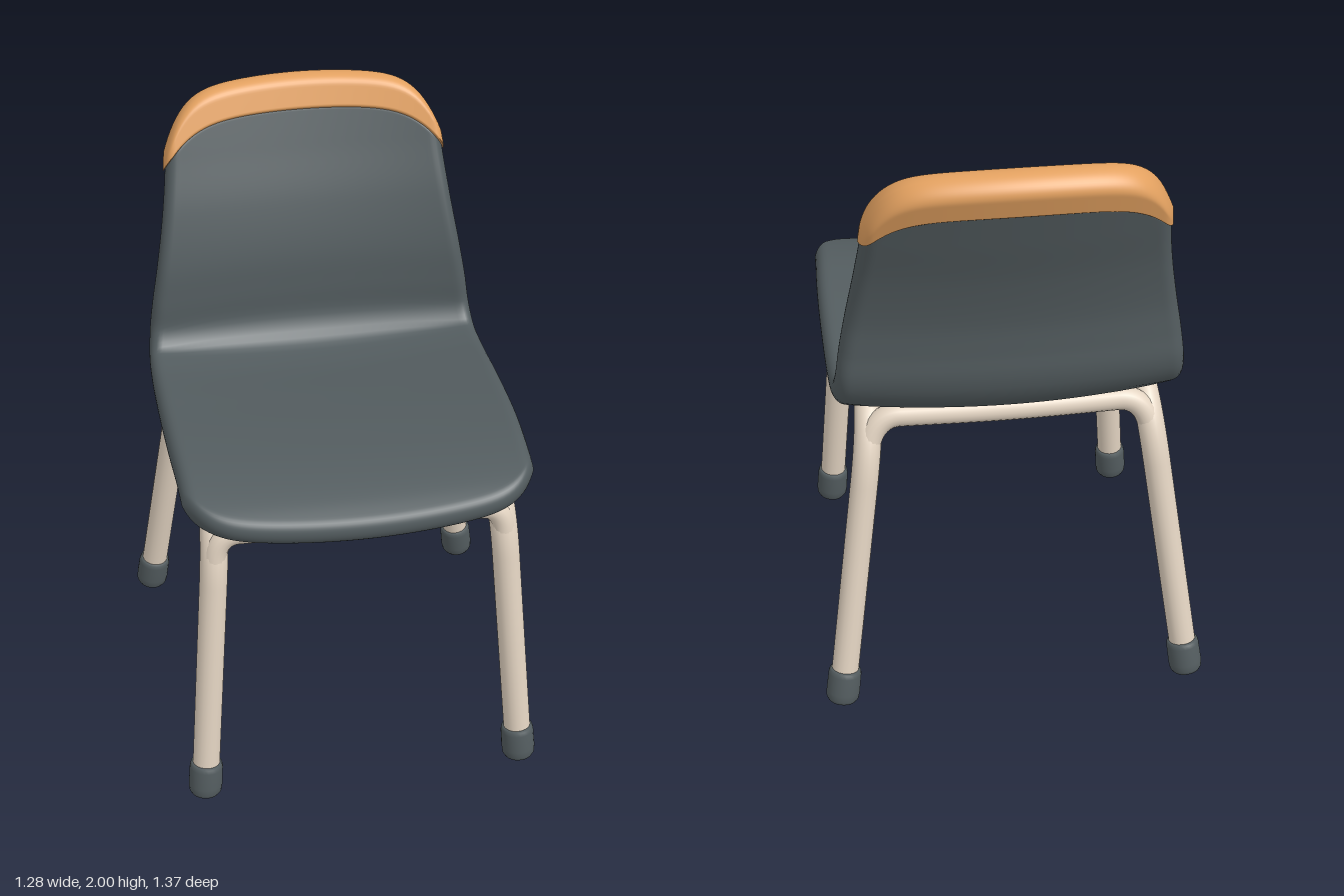
import * as THREE from 'three';
import { mergeVertices } from 'three/addons/utils/BufferGeometryUtils.js';

const V = (x, y, z) => new THREE.Vector3(x, y, z);

// Edge line of the moulded shell, front lip to top of back: [half width, y, z]
const spine = new THREE.CatmullRomCurve3([
  [0.555, 1.045, 0.672], [0.56, 1.088, 0.57], [0.565, 1.118, 0.42], [0.572, 1.124, 0.25],
  [0.575, 1.112, 0], [0.572, 1.1, -0.25], [0.567, 1.118, -0.35], [0.557, 1.19, -0.403],
  [0.542, 1.3, -0.41], [0.521, 1.42, -0.42], [0.49, 1.6, -0.463], [0.467, 1.78, -0.525],
  [0.455, 2.013, -0.605],
].map((p) => V(...p)), false, 'centripetal');
spine.arcLengthDivisions = 600;
const L = spine.getLength();

// Point on the dished mid-surface (s across, a along the spine) plus its normal
function surfaceFrame(s, a) {
  const t = THREE.MathUtils.clamp(a / L, 0, 1);
  const p = spine.getPointAt(t);
  const tan = spine.getTangentAt(t).setX(0).normalize();
  const normal = V(0, -tan.z, tan.y);
  const dish = THREE.MathUtils.lerp(0.028, 0.046, THREE.MathUtils.smoothstep(a, 0.5, 1.1));
  const width = p.x;
  p.x = 0;
  p.addScaledVector(normal, -dish * (1 - s * s));
  return { p, normal, width };
}

// Pillow-edged slab following the spine between two curved ends
function slab({ start, end, half, rim, endRim, grow = 0, nu, nv }) {
  const pos = [], index = [];
  const round = (d, r) => Math.sqrt(Math.max(0, 1 - (1 - Math.min(d / r, 1)) ** 2));
  for (const side of [1, -1]) {
    const base = pos.length / 3;
    for (let j = 0; j <= nv; j++) {
      const v = (1 - Math.cos(Math.PI * j / nv)) / 2;
      for (let i = 0; i <= nu; i++) {
        const s = Math.sin(Math.PI * (i / nu - 0.5));
        const a0 = start(s), a1 = end(s), a = a0 + (a1 - a0) * v;
        const { p, normal, width } = surfaceFrame(s, a);
        const w = width + grow;
        const h = half * round((1 - Math.abs(s)) * w, rim)
          * round(a - a0, endRim[0]) * round(a1 - a, endRim[1]);
        p.addScaledVector(normal, side * h);
        pos.push(s * w, p.y, p.z);
        if (i < nu && j < nv) {
          const k = base + j * (nu + 1) + i, m = k + nu + 1;
          if (side > 0) index.push(k, k + 1, m + 1, k, m + 1, m);
          else index.push(k, m + 1, k + 1, k, m, m + 1);
        }
      }
    }
  }
  let g = new THREE.BufferGeometry();
  g.setAttribute('position', new THREE.Float32BufferAttribute(pos, 3));
  g.setIndex(index);
  g = mergeVertices(g, 1e-5);
  g.computeVertexNormals();
  return g;
}

// Tube through straight runs with rounded corners
function bentTube(points, bends, radius) {
  const path = new THREE.CurvePath();
  let from = points[0];
  for (let i = 1; i < points.length - 1; i++) {
    const c = points[i], [before, after] = bends[i - 1];
    const p = c.clone().add(points[i - 1].clone().sub(c).setLength(before));
    const q = c.clone().add(points[i + 1].clone().sub(c).setLength(after));
    path.add(new THREE.LineCurve3(from, p));
    path.add(new THREE.QuadraticBezierCurve3(p, c, q));
    from = q;
  }
  path.add(new THREE.LineCurve3(from, points[points.length - 1]));
  return new THREE.TubeGeometry(path, 140, radius, 18, false);
}

export function createModel() {
  const model = new THREE.Group();
  const material = (name, color) => {
    const m = new THREE.MeshStandardMaterial({ color });
    m.name = name;
    return m;
  };
  const slate = material('slate grey', 0x535c5f);
  const orange = material('warm orange', 0xe3a160);
  const beige = material('beige', 0xe2d3c1);
  const add = (name, geometry, mat, parent = model) => {
    const mesh = new THREE.Mesh(geometry, mat);
    mesh.name = name;
    parent.add(mesh);
    return mesh;
  };

  // Seat and back in one shell, with an orange grip along the top edge
  const frontEdge = (s) => 0.05 * s * s + 0.12 * s ** 10;
  const gripLower = (s) => L - (0.127 + 0.045 * s * s + 0.12 * s ** 6);
  const gripUpper = (s) => L - (0.055 * s * s + 0.175 * s ** 8);
  add('seatShell', slab({
    start: frontEdge, end: (s) => gripLower(s) + 0.03,
    half: 0.049, rim: 0.042, endRim: [0.045, 0.025], nu: 56, nv: 110,
  }), slate);
  add('topGrip', slab({
    start: gripLower, end: gripUpper,
    half: 0.06, rim: 0.035, endRim: [0.014, 0.045], grow: 0.006, nu: 56, nv: 28,
  }), orange);

  // Tubular frame: side loops carry the legs, cross bars bend into them
  const frame = new THREE.Group();
  frame.name = 'frame';
  model.add(frame);
  const foot = { front: (m) => V(m * 0.537, 0.006, 0.622), back: (m) => V(m * 0.588, 0.006, -0.557) };
  const corner = { front: (m) => V(m * 0.458, 1.05, 0.52), back: (m) => V(m * 0.447, 1.035, -0.4) };
  const lift = (end, m) => foot[end](m).lerp(corner[end](m), 0.05);
  for (const m of [1, -1]) {
    add(m > 0 ? 'leftLegLoop' : 'rightLegLoop', bentTube(
      [lift('front', m), corner.front(m), corner.back(m), lift('back', m)],
      [[0.24, 0.17], [0.17, 0.24]], 0.045), beige, frame);
  }
  // Front bar bows out under the lip
  const frontLeg = (m, k) => foot.front(m).lerp(corner.front(m), k);
  add('frontCrossBar', bentTube(
    [frontLeg(1, 0.75), frontLeg(1, 0.945), V(0, 0.988, 0.55), frontLeg(-1, 0.945), frontLeg(-1, 0.75)],
    [[0.1, 0.08], [0.2, 0.2], [0.08, 0.1]], 0.038), beige, frame);
  // Back bar sits up against the shell, level with the side rails
  const backLeg = (m) => foot.back(m).lerp(corner.back(m), 0.75);
  const backBend = (m) => V(m * 0.45, 1.02, -0.375);
  add('backCrossBar', bentTube(
    [backLeg(1), backBend(1), V(0, 1.015, -0.385), backBend(-1), backLeg(-1)],
    [[0.14, 0.1], [0.2, 0.2], [0.1, 0.14]], 0.04), beige, frame);

  // Rubber caps on the feet, aligned with each leg
  const capProfile = [[0, 0], [0.036, 0], [0.047, 0.004], [0.054, 0.016], [0.056, 0.04],
    [0.055, 0.105], [0.052, 0.118], [0.047, 0.124], [0.03, 0.124]]
    .map(([r, y]) => new THREE.Vector2(r, y));
  const capGeometry = new THREE.LatheGeometry(capProfile, 24);
  for (const end of ['front', 'back']) {
    for (const m of [1, -1]) {
      const cap = add(end + (m > 0 ? 'Left' : 'Right') + 'FootCap', capGeometry, slate);
      cap.position.copy(foot[end](m));
      cap.quaternion.setFromUnitVectors(V(0, 1, 0), corner[end](m).sub(foot[end](m)).normalize());
    }
  }
  return model;
}
